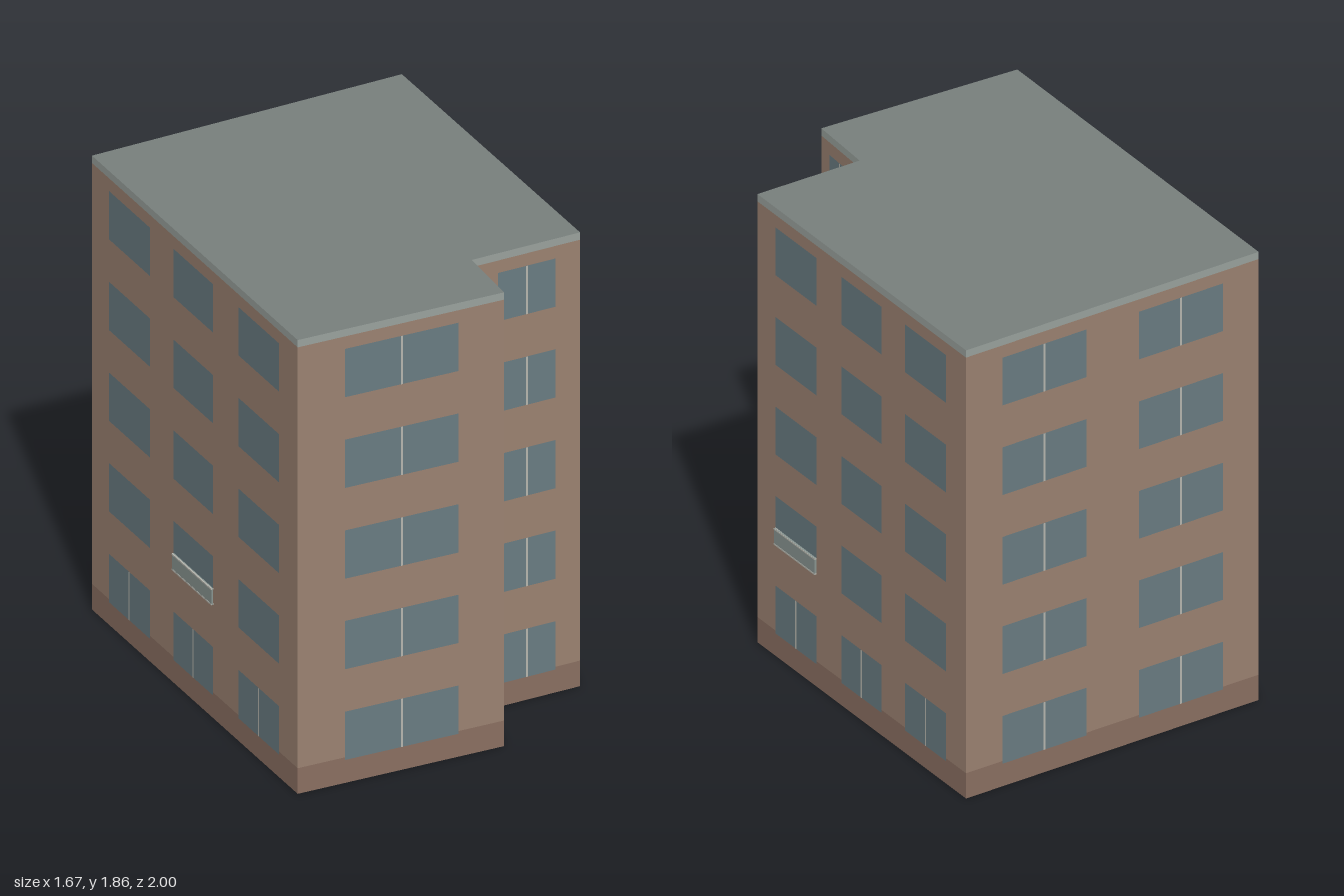
import * as THREE from 'three';

const mat = (color) => new THREE.MeshStandardMaterial({ color });
const brick = mat(0x9c8372), plinth = mat(0x8b7062), roof = mat(0x78807d);
const trim = mat(0x9ba39e), glass = mat(0x6a7d83), frame = mat(0xb8b8b0), panel = mat(0x8a9692);

const HEIGHT = 1.86, PLINTH_TOP = 0.105, TRIM_BOTTOM = 1.83;
const FLOORS = [0.095, 0.467, 0.838, 1.21, 1.582];
const WINDOW_HEIGHT = 0.198;

// Footprint corners [x, z], anticlockwise seen from above
const CORNERS = [[-0.29, 0.995], [0.5, 0.727], [0.418, 0.462], [0.835, 0.302], [0.357, -1], [-0.84, -0.522]];

// Windows of each wall as fractions of its length; split = centre bar on every floor
const WALLS = [
  { name: 'frontWall', split: true, windows: [[0.228, 0.778]] },
  { name: 'notchSideWall', split: true, windows: [[0.22, 0.765]] },
  { name: 'notchFrontWall', split: true, windows: [[0.24, 0.77]] },
  { name: 'leftSideWall', split: false, windows: [[0.09, 0.285], [0.405, 0.597], [0.71, 0.907]], balcony: 0 },
  { name: 'backWall', split: true, windows: [[0.123, 0.41], [0.59, 0.877]] },
  { name: 'rightSideWall', split: false, windows: [[0.085, 0.285], [0.4, 0.592], [0.715, 0.912]], balcony: 1 },
];

// One horizontal storey of the footprint
function layer(name, y0, y1, cap, side) {
  const shape = new THREE.Shape(CORNERS.map(([x, z]) => new THREE.Vector2(x, -z)));
  const geo = new THREE.ExtrudeGeometry(shape, { depth: y1 - y0, bevelEnabled: false });
  geo.rotateX(-Math.PI / 2).translate(0, y0, 0);
  const mesh = new THREE.Mesh(geo, [cap, side]);
  mesh.name = name;
  return mesh;
}

function place(parent, name, geo, material, x, y, z) {
  const mesh = new THREE.Mesh(geo, material);
  mesh.name = name;
  mesh.position.set(x, y, z);
  parent.add(mesh);
}

// Shallow railing in front of a window
function addBalcony(parent, x, y, width) {
  const h = 0.068;
  place(parent, 'balconyPanel', new THREE.BoxGeometry(width, h, 0.008), panel, x, y + h / 2, 0.006);
  for (const ry of [0.003, h - 0.003]) {
    place(parent, 'balconyRail', new THREE.BoxGeometry(width, 0.006, 0.01), frame, x, y + ry, 0.006);
  }
}

// Windows of one wall: local x runs along the wall, local z points outwards
function facade(wall, [x0, z0], [x1, z1]) {
  const group = new THREE.Group();
  group.name = wall.name;
  group.position.set(x0, 0, z0);
  group.rotation.y = Math.atan2(z0 - z1, x1 - x0);
  const length = Math.hypot(x1 - x0, z1 - z0);
  wall.windows.forEach(([a, b], column) => {
    const width = (b - a) * length, x = (a + b) / 2 * length;
    FLOORS.forEach((y, floor) => {
      const cy = y + WINDOW_HEIGHT / 2;
      place(group, 'window', new THREE.PlaneGeometry(width, WINDOW_HEIGHT), glass, x, cy, 0.002);
      if (wall.split || floor === 0) {
        place(group, 'windowBar', new THREE.PlaneGeometry(0.008, WINDOW_HEIGHT), frame, x, cy, 0.003);
      }
      if (floor === 1 && wall.balcony === column) addBalcony(group, x, y, width);
    });
  });
  return group;
}

export function createModel() {
  const model = new THREE.Group();
  model.name = 'apartmentBlock';
  model.add(
    layer('plinth', 0, PLINTH_TOP, brick, plinth),
    layer('walls', PLINTH_TOP, TRIM_BOTTOM, brick, brick),
    layer('roof', TRIM_BOTTOM, HEIGHT, roof, trim),
  );
  WALLS.forEach((wall, i) => model.add(facade(wall, CORNERS[i], CORNERS[(i + 1) % CORNERS.length])));
  return model;
}
